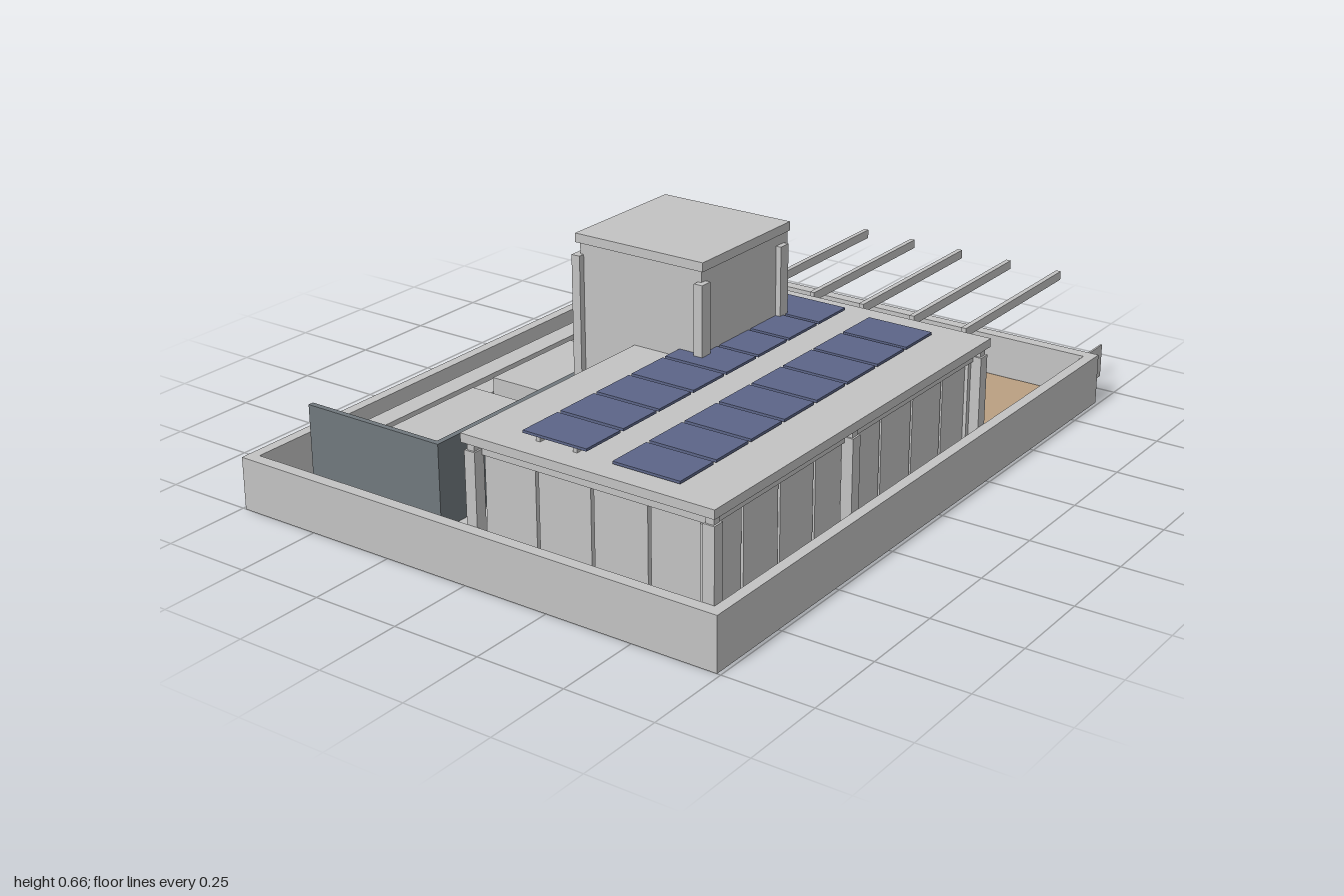
import * as THREE from 'three';

const mat = (name, color) => {
  const m = new THREE.MeshStandardMaterial({ color });
  m.name = name;
  return m;
};

export function createModel() {
  const model = new THREE.Group();
  model.name = 'rooftopTerrace';
  const concrete = mat('lightGrey', 0xc3c3c3);
  const wood = mat('tanWood', 0xba9f81);
  const solar = mat('solarBlue', 0x5c6588);
  const screen = mat('darkScreen', 0x70787d);

  // Box given by its limits on each axis
  const box = (name, m, x0, x1, y0, y1, z0, z1, parent = model) => {
    const mesh = new THREE.Mesh(new THREE.BoxGeometry(x1 - x0, y1 - y0, z1 - z0), m);
    mesh.position.set((x0 + x1) / 2, (y0 + y1) / 2, (z0 + z1) / 2);
    mesh.name = name;
    parent.add(mesh);
    return mesh;
  };
  const group = (name) => {
    const g = new THREE.Group();
    g.name = name;
    model.add(g);
    return g;
  };
  // Upright rectangular tube; outer and inner are [x0, x1, z0, z1]
  const frame = (name, m, outer, inner, y0, y1, parent = model) => {
    const corners = ([x0, x1, z0, z1]) =>
      [[x0, -z1], [x1, -z1], [x1, -z0], [x0, -z0]].map(([x, y]) => new THREE.Vector2(x, y));
    const shape = new THREE.Shape(corners(outer));
    shape.holes.push(new THREE.Path(corners(inner).reverse()));
    const geo = new THREE.ExtrudeGeometry(shape, { depth: y1 - y0, bevelEnabled: false });
    geo.rotateX(-Math.PI / 2);
    const mesh = new THREE.Mesh(geo, m);
    mesh.position.y = y0;
    mesh.name = name;
    parent.add(mesh);
  };

  const F = 0.02; // floor level inside the parapet

  // Floor with shaft opening, parapet and the thin sign plate at the corner
  frame('floorSlab', concrete, [-0.98, 0.88, -0.72, 0.72], [-0.272, 0.098, -0.185, 0.185], 0, F);
  frame('parapet', concrete, [-1, 0.9, -0.74, 0.74], [-0.967, 0.865, -0.71, 0.71], 0, 0.147);
  box('cornerPlate', concrete, 0.86, 1, 0.04, 0.138, 0.698, 0.703);

  // Wooden deck and the beams above it
  box('deck', wood, 0.286, 0.86, F, F + 0.008, -0.19, 0.7);
  const pergola = group('pergola');
  for (let i = 0; i < 5; i++) {
    const z = -0.011 + i * 0.158;
    box('pergolaBeam', concrete, 0.31, 0.856, 0.364, 0.389, z - 0.007, z + 0.007, pergola);
  }

  // Hollow stair tower
  const tower = group('tower');
  frame('towerWalls', concrete, [-0.282, 0.113, -0.192, 0.192], [-0.24, 0.07, -0.155, 0.155], F, 0.635, tower);
  box('towerCap', concrete, -0.29, 0.108, 0.635, 0.66, -0.202, 0.202, tower);
  for (const z of [-0.194, 0.194])
    for (const x of [-0.282, 0.077])
      box('towerPilaster', concrete, x - 0.018, x + 0.018, F, 0.603, z - 0.013, z + 0.013, tower);

  // Pavilion: roof, ring beam, columns
  const pavilion = group('pavilion');
  box('roof', concrete, -0.972, 0.29, 0.363, 0.387, -0.02, 0.713, pavilion);
  frame('ringBeam', concrete, [-0.94, 0.255, 0.005, 0.685], [-0.91, 0.225, 0.035, 0.655], 0.328, 0.363, pavilion);
  for (const z of [0.002, 0.693])
    for (const x of [-0.95, -0.368, 0.266]) {
      box('column', concrete, x - 0.017, x + 0.017, F, 0.343, z - 0.016, z + 0.016, pavilion);
      box('columnNeck', concrete, x - 0.012, x + 0.012, 0.343, 0.363, z - 0.011, z + 0.011, pavilion);
    }

  // Facade panels with narrow gaps, front and right-hand side
  for (let i = 0; i < 8; i++) {
    const x = -0.95 + i * 0.152;
    box('frontPanel', concrete, x + 0.004, x + 0.147, F, 0.328, 0.655, 0.67, pavilion);
  }
  for (let i = 0; i < 4; i++) {
    const z = 0.02 + i * 0.163;
    box('sidePanel', concrete, -0.937, -0.922, F, 0.328, z + 0.004, z + 0.158, pavilion);
  }

  // Solid wall towards the deck with two wall units
  box('deckWall', concrete, 0.235, 0.255, F, 0.363, 0.015, 0.68, pavilion);
  for (const [z0, z1] of [[0.265, 0.348], [0.358, 0.477]]) {
    box('wallUnit', concrete, 0.255, 0.275, 0.293, 0.322, z0, z1, pavilion);
    box('wallUnitLid', concrete, 0.255, 0.279, 0.322, 0.33, z0, z1, pavilion);
  }

  // Bar counter and stools inside
  const bar = group('bar');
  box('counter', wood, -0.86, -0.31, F, 0.24, 0.12, 0.24, bar);
  for (let i = 0; i < 5; i++) {
    const x = -0.8 + i * 0.108;
    box('stool', concrete, x - 0.033, x + 0.033, F, 0.215, 0.03, 0.09, bar);
  }

  // Two rows of solar panels on rails
  const panels = group('solarPanels');
  for (const [z0, z1, y] of [[0.387, 0.578, 0.391], [0.123, 0.312, 0.402]]) {
    for (let i = 0; i < 8; i++) {
      const x = -0.913 + i * 0.1425;
      box('solarPanel', solar, x, x + 0.131, y, y + 0.007, z0, z1, panels);
    }
    for (const z of [z0 + 0.04, z1 - 0.04])
      box('panelRail', concrete, -0.905, 0.208, 0.387, y, z - 0.006, z + 0.006, panels);
  }

  // L-shaped screen wall
  box('screenLong', screen, -0.836, 0.162, F, 0.257, -0.232, -0.216);
  box('screenShort', screen, -0.836, -0.82, F, 0.257, -0.655, -0.232);

  // Plant units and long ducts at the back
  for (const [x0, x1] of [[-0.785, -0.449], [-0.365, -0.03], [0.213, 0.487], [0.529, 0.802]])
    box('plantUnit', concrete, x0, x1, F, 0.226, -0.433, -0.268);
  for (const z of [-0.573, -0.488])
    box('duct', concrete, -0.785, 0.79, F, 0.17, z - 0.031, z + 0.031);

  return model;
}
